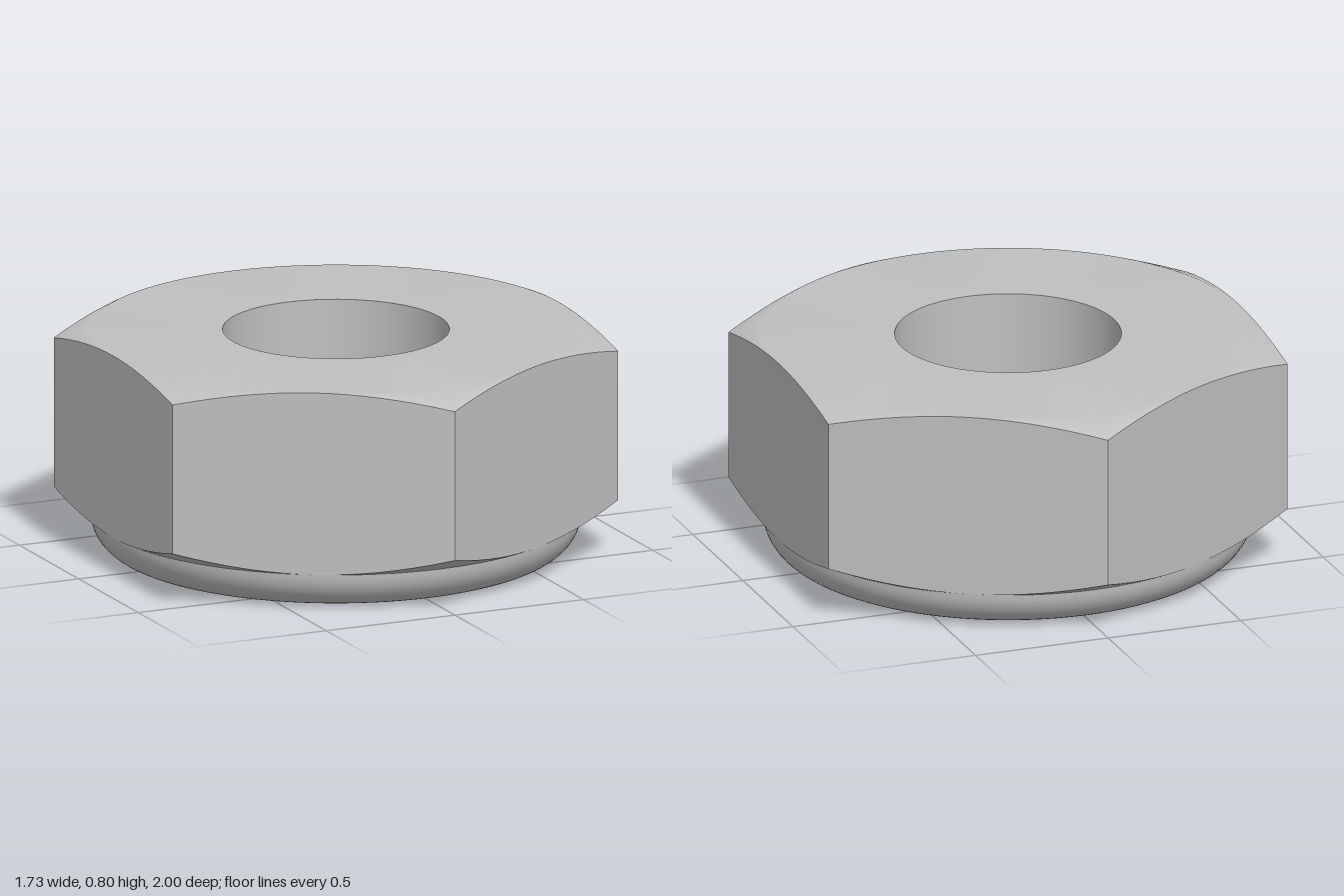
import * as THREE from 'three';

const STEPS = 96;                     // multiple of 6 so corners fall on steps
const FLAT = Math.sqrt(3) / 2;        // centre to flat of the hexagon
const TOP = 0.8, SHOULDER = 0.135, BORE = 0.4, RECESS = 0.57, RECESS_Y = 0.04;

const steel = new THREE.MeshStandardMaterial({ color: 0xc0c0c0 });
steel.name = 'steel grey';

// Hexagon radius at an angle, with corners on the z axis
const hexRadius = (a) => FLAT / Math.cos((a % (Math.PI / 3)) - Math.PI / 6);
const topY = (r) => TOP - (r - FLAT) * 0.42;
const bottomY = (r) => SHOULDER + (r - FLAT) * 0.48;

// Surface through closed rings; each ring maps an angle to [radius, height]
function ringSurface(rings, faceted = false) {
  const positions = [], index = [];
  for (const ring of rings) {
    for (let i = 0; i < STEPS; i++) {
      const a = (i / STEPS) * Math.PI * 2;
      const [r, y] = ring(a);
      positions.push(r * Math.sin(a), y, r * Math.cos(a));
    }
  }
  for (let j = 0; j < rings.length - 1; j++) {
    for (let i = 0; i < STEPS; i++) {
      const n = (i + 1) % STEPS;
      const a = j * STEPS + i, b = j * STEPS + n;
      const c = b + STEPS, d = a + STEPS;
      index.push(a, b, c, a, c, d);
    }
  }
  let g = new THREE.BufferGeometry();
  g.setAttribute('position', new THREE.Float32BufferAttribute(positions, 3));
  g.setIndex(index);
  if (faceted) g = g.toNonIndexed();
  g.computeVertexNormals();
  return g;
}

const lathe = (points) =>
  new THREE.LatheGeometry(points.map(([x, y]) => new THREE.Vector2(x, y)), STEPS);

export function createModel() {
  const nut = new THREE.Group();
  nut.name = 'lockNut';
  const add = (name, geometry) => {
    const mesh = new THREE.Mesh(geometry, steel);
    mesh.name = name;
    nut.add(mesh);
  };

  // Hexagonal body: conical chamfers cut curved edges into the six flats
  const topEdge = (a) => [hexRadius(a), topY(hexRadius(a))];
  const bottomEdge = (a) => [hexRadius(a), bottomY(hexRadius(a))];
  add('hexSides', ringSurface([bottomEdge, topEdge], true));
  add('topFace', ringSurface([topEdge, () => [FLAT, TOP], () => [BORE, TOP]]));
  add('bottomChamfer', ringSurface([() => [FLAT, SHOULDER], bottomEdge]));

  // Round collar with a filleted lower edge
  const collar = [[RECESS, 0]];
  for (let i = 0; i <= 12; i++) {
    const t = (i / 12) * Math.PI / 2;
    collar.push([
      FLAT - SHOULDER * (1 - Math.sin(t)),
      SHOULDER * (1 - Math.cos(t)),
    ]);
  }
  add('collar', lathe(collar));

  // Shallow recess and locking ring underneath, and the through bore
  add('recessWall', lathe([[RECESS, RECESS_Y], [RECESS, 0]]));
  add('lockingRing', lathe([[BORE, RECESS_Y], [RECESS, RECESS_Y]]));
  add('bore', lathe([[BORE, TOP], [BORE, RECESS_Y]]));

  return nut;
}
